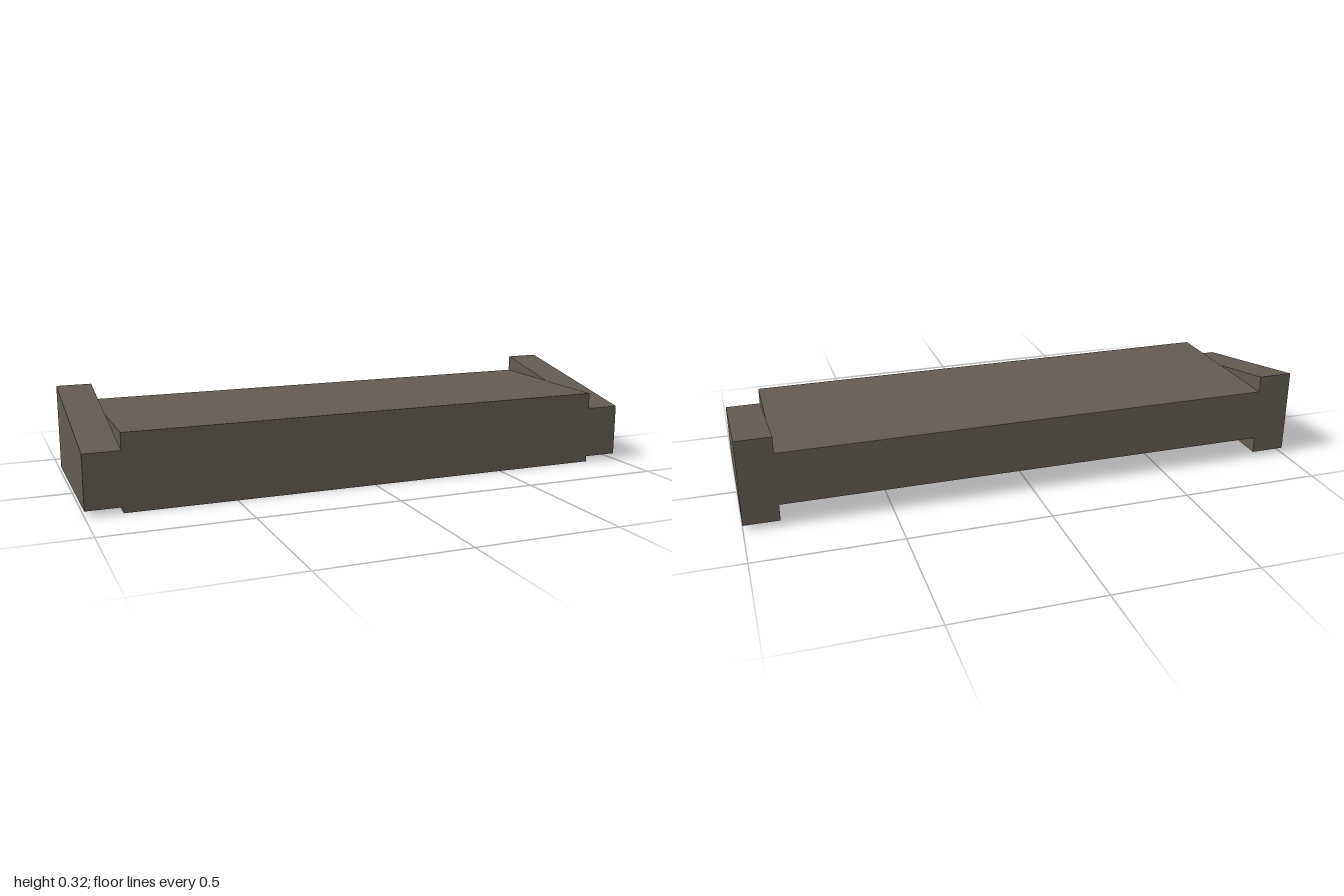
import * as THREE from 'three';

const HALF_LENGTH = 1;
const INNER = 0.877; // inner face of the end cheeks
const FRONT = 0.292;
const BACK = -0.292;

// Extrude a side profile of [z, y] points along x, from x0 to x1
function extrudeAlongX(profile, x0, x1) {
  const shape = new THREE.Shape(profile.map(([z, y]) => new THREE.Vector2(z, y)));
  const geometry = new THREE.ExtrudeGeometry(shape, { depth: x1 - x0, bevelEnabled: false });
  geometry.rotateY(-Math.PI / 2);
  geometry.translate(x1, 0, 0);
  return geometry;
}

export function createModel() {
  const model = new THREE.Group();
  model.name = 'steppedSlab';

  const stone = new THREE.MeshStandardMaterial({ color: 0x645b52 });
  stone.name = 'brown grey stone';

  const add = (name, geometry) => {
    const mesh = new THREE.Mesh(geometry, stone);
    mesh.name = name;
    model.add(mesh);
  };

  // Slab: flat top, underside rising in three equal steps towards the back
  const top = 0.264;
  const rise = 0.039;
  const tread = (FRONT - BACK) / 3;
  const slab = [[BACK, top], [FRONT, top]];
  for (let i = 0; i < 3; i++) {
    slab.push([FRONT - i * tread, i * rise], [FRONT - (i + 1) * tread, i * rise]);
  }
  slab.reverse();
  add('slab', extrudeAlongX(slab, -INNER, INNER));

  // End cheeks: sloping tops, tall at the back
  const cheek = [[BACK, 0.02], [FRONT, 0.02], [FRONT, 0.206], [BACK, 0.322]];
  add('leftCheek', extrudeAlongX(cheek, INNER, HALF_LENGTH));
  add('rightCheek', extrudeAlongX(cheek, -HALF_LENGTH, -INNER));

  return model;
}
